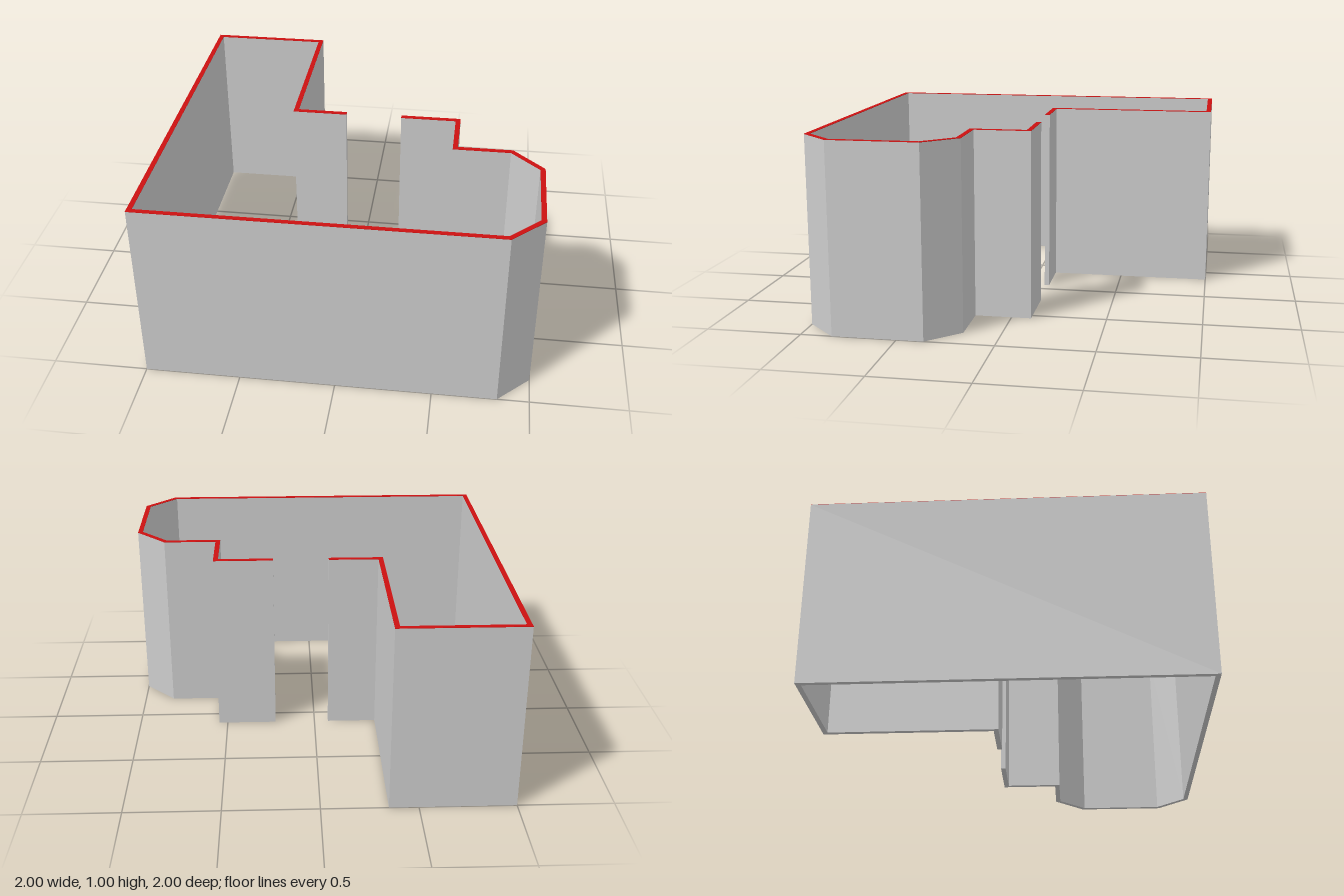
import * as THREE from 'three';

const HEIGHT = 1;
const THICKNESS = 0.026;
const CAP = 0.002;

// Centre line of the wall in plan (x, z), from one side of the doorway to the other
const PLAN = [
  [-0.078, -0.092], [-0.36, -0.092], [-0.36, -0.987], [-0.987, -0.987],
  [-0.987, 0.987], [0.83, 0.987], [0.987, 0.83], [0.987, 0.365],
  [0.83, 0.208], [0.535, 0.208], [0.535, -0.092], [0.224, -0.092],
].map(([x, z]) => new THREE.Vector2(x, -z));

// Offset an open path sideways, with mitred corners
function offsetPath(points, distance) {
  const normals = points.slice(1).map((p, i) => {
    const d = p.clone().sub(points[i]).normalize();
    return new THREE.Vector2(-d.y, d.x);
  });
  return points.map((p, i) => {
    const a = normals[Math.max(i - 1, 0)];
    const b = normals[Math.min(i, normals.length - 1)];
    const mitre = a.clone().add(b);
    return p.clone().addScaledVector(mitre, distance / (1 + a.dot(b)));
  });
}

// Extrude a plan shape upward from the given height
function extrudeUp(shape, base, depth) {
  return new THREE.ExtrudeGeometry(shape, { depth, bevelEnabled: false })
    .rotateX(-Math.PI / 2)
    .translate(0, base, 0);
}

export function createModel() {
  const group = new THREE.Group();
  group.name = 'roomWalls';

  const outline = new THREE.Shape([
    ...offsetPath(PLAN, THICKNESS / 2),
    ...offsetPath(PLAN, -THICKNESS / 2).reverse(),
  ]);

  // Continuous wall with a full-height doorway gap
  const wall = new THREE.Mesh(
    extrudeUp(outline, 0, HEIGHT - CAP),
    new THREE.MeshStandardMaterial({ color: 0xcccccc }),
  );
  wall.name = 'wall';

  // Red finish along the top edge
  const topEdge = new THREE.Mesh(
    extrudeUp(outline, HEIGHT - CAP, CAP),
    new THREE.MeshStandardMaterial({ color: 0xcc1111 }),
  );
  topEdge.name = 'wallTopEdge';

  group.add(wall, topEdge);
  return group;
}
